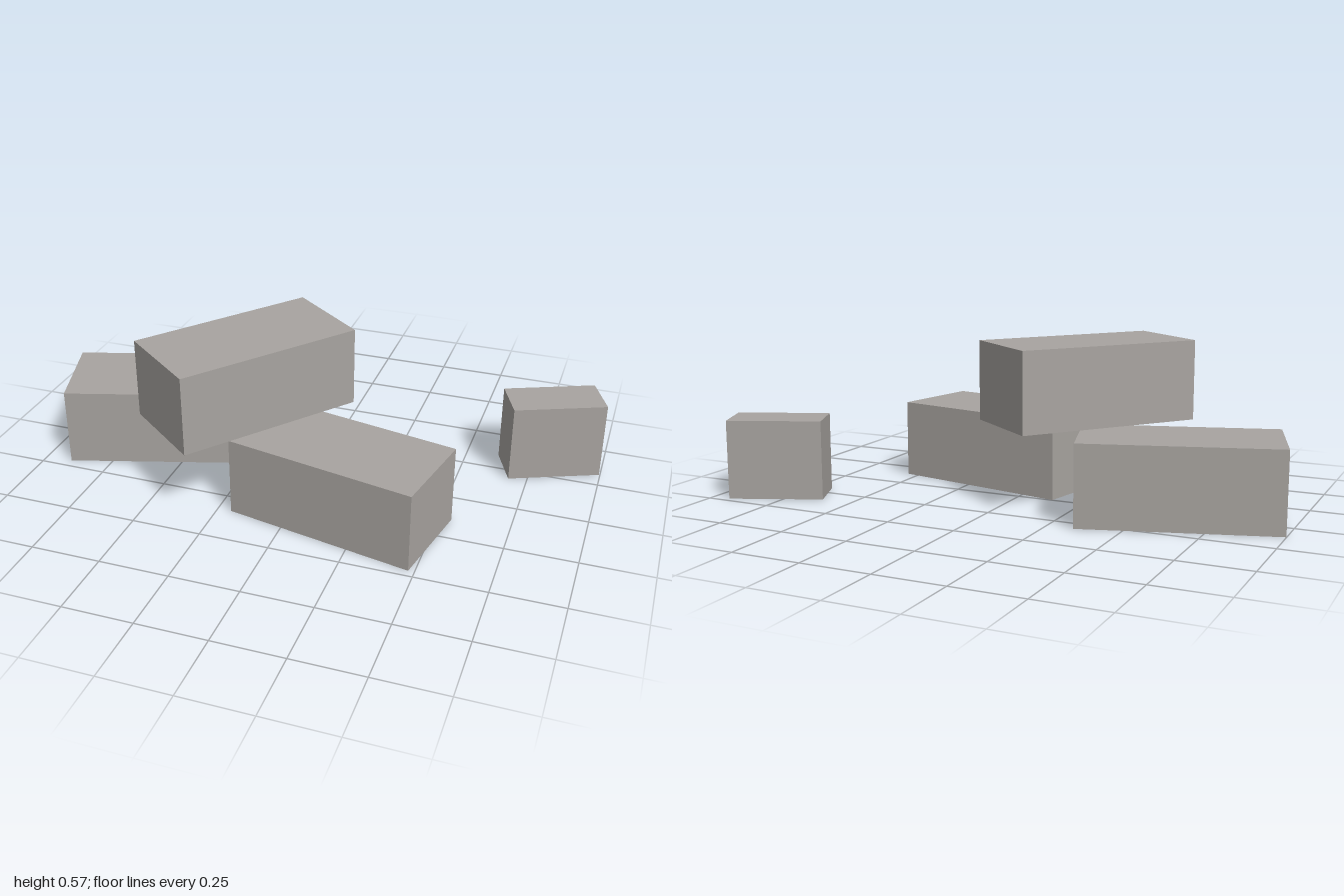
import * as THREE from 'three';

const HEIGHT = 0.286;

export function createModel() {
  const group = new THREE.Group();
  group.name = 'brickPile';
  const stone = new THREE.MeshStandardMaterial({ color: 0xa8a4a0 });
  stone.name = 'warm grey stone';

  // One block: centre on the ground plan, layer, turn about y, length and width
  const addBrick = (name, x, z, layer, turn, length = 0.685, width = 0.34) => {
    const brick = new THREE.Mesh(new THREE.BoxGeometry(length, HEIGHT, width), stone);
    brick.name = name;
    brick.position.set(x, (layer + 0.5) * HEIGHT, z);
    brick.rotation.y = turn;
    group.add(brick);
  };

  // Two bricks on the ground, one laid across them
  addBrick('lowerRightBrick', -0.622, -0.05, 0, 0.298);
  addBrick('lowerLeftBrick', 0.173, 0.237, 0, -0.199, 0.692);
  addBrick('topBrick', -0.223, 0.097, 1, 0.903);

  // Half brick lying apart
  addBrick('halfBrick', 0.807, -0.333, 0, 0.403, 0.34, 0.168);

  return group;
}
